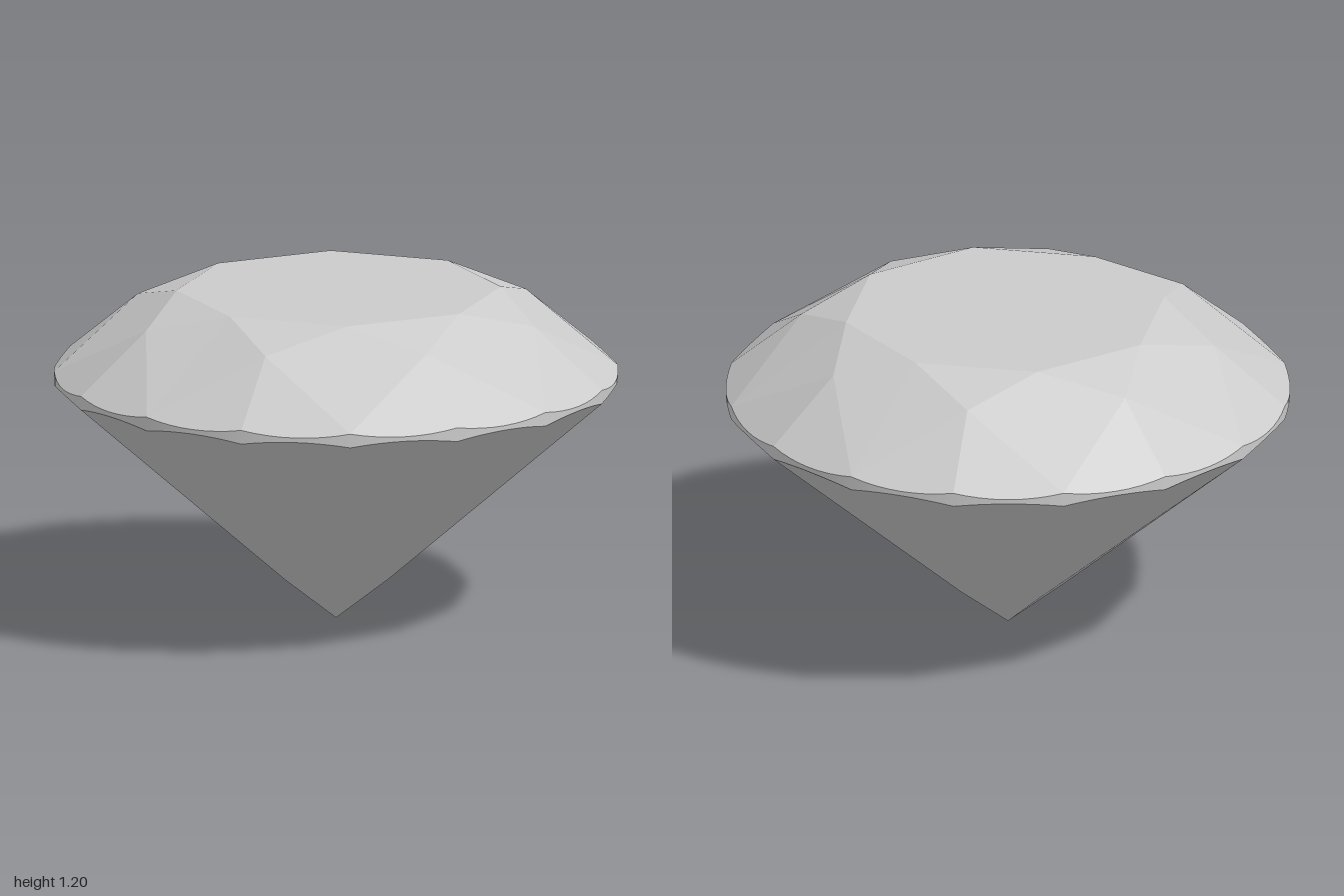
import * as THREE from 'three';
import { toCreasedNormals } from 'three/addons/utils/BufferGeometryUtils.js';

const STEP = Math.PI / 8; // 16 sectors around the stone
const ARC = 8; // girdle segments per sector
const TABLE_Y = 1.2, TABLE_R = 0.575, TABLE_SHIFT = 0.01;
const STAR_Y = 1.122, STAR_R = 0.745;
const CROWN_EDGE_Y = 0.91, PAVILION_EDGE_Y = 0.86;
const LOWER_R = 0.2;

// Point at sector position k (may be fractional), counted from the front towards +x
const at = (k, r, y) => new THREE.Vector3(r * Math.sin(k * STEP), y, r * Math.cos(k * STEP));

// Collects convex facets as triangle fans
function facetMesh(name, facets, smooth = false) {
  const points = [];
  for (const f of facets) {
    for (let i = 1; i < f.length - 1; i++) points.push(f[0], f[i], f[i + 1]);
  }
  let geometry = new THREE.BufferGeometry().setFromPoints(points);
  geometry.computeVertexNormals();
  if (smooth) geometry = toCreasedNormals(geometry, 0.5);
  const material = new THREE.MeshStandardMaterial({ color: 0xcccccc, flatShading: !smooth });
  const mesh = new THREE.Mesh(geometry, material);
  mesh.name = name;
  return mesh;
}

// Scalloped edge where a facet's plane cuts the round girdle, from sector k to k + 1
function scallop(inner, k, y) {
  const plane = new THREE.Plane().setFromCoplanarPoints(inner, at(k, 1, y), at(k + 1, 1, y));
  const { normal: n, constant } = plane;
  return Array.from({ length: ARC + 1 }, (_, i) => {
    const p = at(k + i / ARC, 1, 0);
    p.y = -(n.x * p.x + n.z * p.z + constant) / n.y;
    return p;
  });
}

export function createModel() {
  const tablePoint = (k) => {
    const p = at(k, TABLE_R, TABLE_Y);
    p.x += TABLE_SHIFT;
    return p;
  };
  const starPoint = (k) => at(k, STAR_R, STAR_Y);
  // Lies on both neighbouring main facets of the pavilion
  const lowerPoint = (k) => at(k, LOWER_R, PAVILION_EDGE_Y * LOWER_R * Math.cos(STEP));
  const culet = new THREE.Vector3(0, 0, 0);

  const table = [], stars = [], bezels = [], upperHalves = [];
  const girdle = [], lowerHalves = [], mains = [];

  // Eight-fold facets
  for (let k = 0; k < 16; k += 2) {
    table.push(tablePoint(k));
    stars.push([tablePoint(k), starPoint(k + 1), tablePoint(k + 2)]);
    bezels.push([tablePoint(k), starPoint(k - 1), at(k, 1, CROWN_EDGE_Y), starPoint(k + 1)]);
    mains.push([culet, lowerPoint(k + 1), at(k, 1, PAVILION_EDGE_Y), lowerPoint(k - 1)]);
  }

  // Sixteen half facets above and below, with the girdle wall between them
  for (let k = 0; k < 16; k++) {
    const odd = k % 2 ? k : k + 1;
    const star = starPoint(odd), lower = lowerPoint(odd);
    const top = scallop(star, k, CROWN_EDGE_Y);
    const bottom = scallop(lower, k, PAVILION_EDGE_Y);
    upperHalves.push([star, ...top]);
    lowerHalves.push([lower, ...bottom.slice().reverse()]);
    for (let i = 0; i < ARC; i++) {
      girdle.push([bottom[i], bottom[i + 1], top[i + 1], top[i]]);
    }
  }

  const group = new THREE.Group();
  group.name = 'brilliantCutGem';
  group.add(
    facetMesh('table', [table]),
    facetMesh('starFacets', stars),
    facetMesh('bezelFacets', bezels),
    facetMesh('upperHalfFacets', upperHalves),
    facetMesh('girdle', girdle, true),
    facetMesh('lowerHalfFacets', lowerHalves),
    facetMesh('pavilionMainFacets', mains),
  );
  return group;
}
